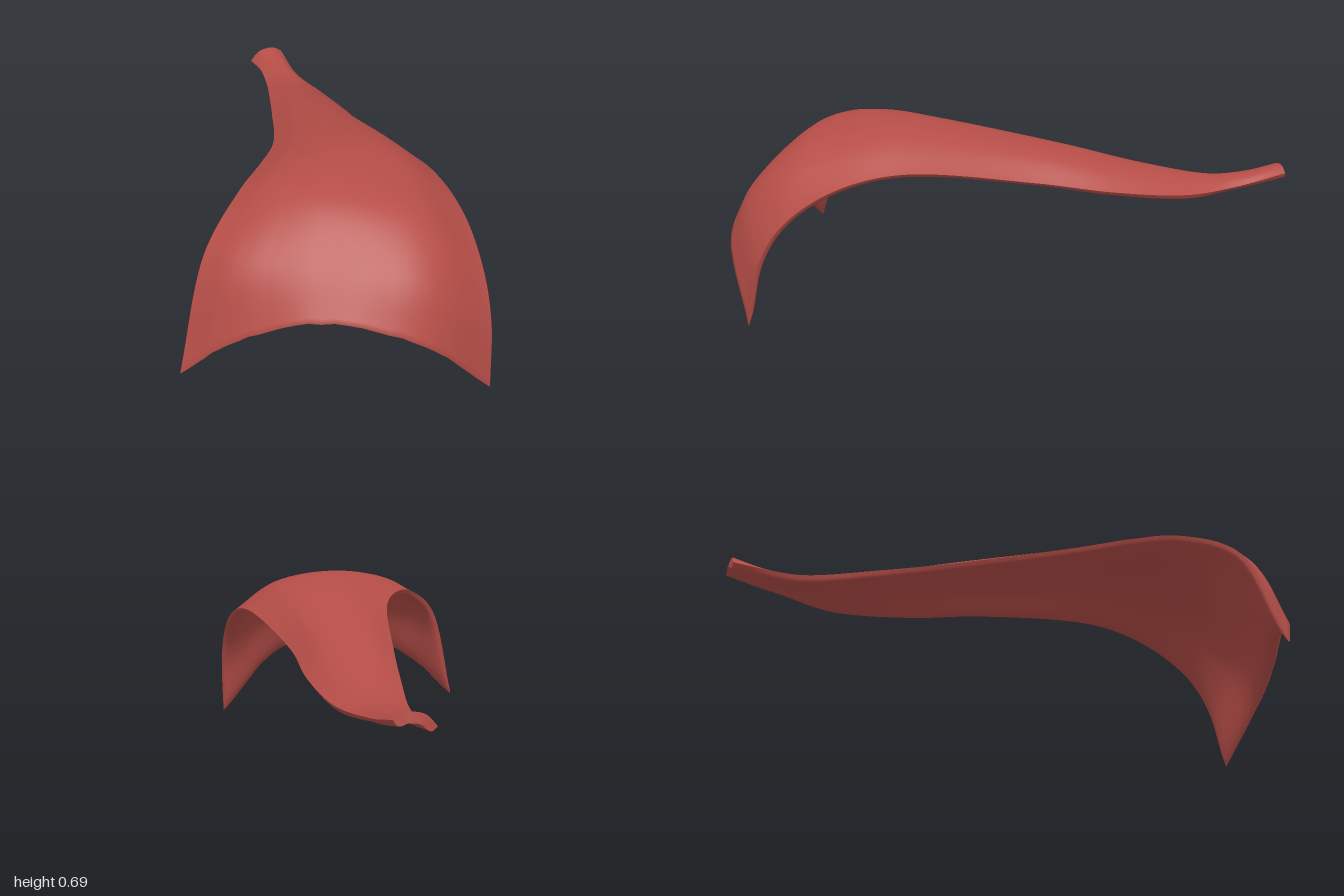
import * as THREE from 'three';

// Cross-sections from the narrow tendon to the flared front edge,
// each with five points running from the -x edge over the crown to the +x edge
const SECTIONS = [
  [[-0.65, 0.43, -0.92], [-0.62, 0.468, -0.94], [-0.59, 0.48, -0.96], [-0.56, 0.48, -0.98], [-0.53, 0.46, -1.0]],
  [[-0.58, 0.43, -0.83], [-0.54, 0.45, -0.84], [-0.5, 0.455, -0.85], [-0.46, 0.447, -0.855], [-0.42, 0.42, -0.845]],
  [[-0.52, 0.425, -0.71], [-0.47, 0.442, -0.71], [-0.41, 0.447, -0.7], [-0.34, 0.438, -0.69], [-0.265, 0.41, -0.685]],
  [[-0.43, 0.465, -0.45], [-0.36, 0.492, -0.45], [-0.27, 0.505, -0.44], [-0.18, 0.49, -0.44], [-0.095, 0.44, -0.44]],
  [[-0.35, 0.51, -0.2], [-0.27, 0.555, -0.2], [-0.17, 0.57, -0.2], [-0.05, 0.555, -0.19], [0.045, 0.485, -0.18]],
  [[-0.22, 0.6, 0.25], [-0.11, 0.655, 0.29], [0.05, 0.685, 0.32], [0.23, 0.655, 0.29], [0.36, 0.555, 0.235]],
  [[-0.21, 0.62, 0.45], [-0.11, 0.666, 0.51], [0.07, 0.685, 0.55], [0.33, 0.634, 0.5], [0.505, 0.5, 0.44]],
  [[-0.235, 0.6, 0.63], [-0.12, 0.635, 0.69], [0.1, 0.64, 0.715], [0.41, 0.575, 0.66], [0.595, 0.38, 0.59]],
  [[-0.292, 0.475, 0.84], [-0.17, 0.48, 0.89], [0.12, 0.495, 0.87], [0.45, 0.44, 0.81], [0.637, 0.235, 0.668]],
  [[-0.35, 0.09, 0.98], [-0.17, 0.24, 0.992], [0.13, 0.352, 0.975], [0.45, 0.265, 0.905], [0.65, 0.003, 0.715]],
];
const ACROSS = 48, ALONG = 90, THICKNESS = 0.035;

// Smooth outer surface, sampled more closely at the two side edges
function outerGrid() {
  const curves = SECTIONS.map(s => new THREE.CatmullRomCurve3(s.map(p => new THREE.Vector3(...p))));
  const columns = [];
  for (let i = 0; i <= ACROSS; i++) {
    const u = (1 - Math.cos(Math.PI * i / ACROSS)) / 2;
    const column = new THREE.CatmullRomCurve3(curves.map(c => c.getPoint(u))).getPoints(ALONG);
    // Faint fibres that grow toward the front edge
    column.forEach((p, j) => {
      const fade = (j / ALONG) ** 6 * Math.sin(Math.PI * u);
      p.y += 0.002 * fade * (Math.sin(u * 47) + Math.sin(u * 83 + 1));
    });
    columns.push(column);
  }
  return columns;
}

// Closed rings: outer surface one way, inner surface back, meeting at the edges
function buildRings() {
  const grid = outerGrid();
  const at = (i, j) => grid[i][Math.min(Math.max(j, 0), ALONG)];
  const rings = [];
  for (let j = 0; j <= ALONG; j++) {
    const outer = [], inner = [];
    const frontTaper = Math.max(0.3, Math.sqrt(1 - (j / ALONG) ** 40));
    for (let i = 0; i <= ACROSS; i++) {
      const p = at(i, j);
      outer.push(p);
      if (i === 0 || i === ACROSS) continue;
      const du = at(i + 1, j).clone().sub(at(i - 1, j));
      const dv = at(i, j + 1).clone().sub(at(i, j - 1));
      const normal = dv.cross(du).normalize();
      const edge = Math.sqrt(1 - Math.abs(2 * i / ACROSS - 1) ** 4);
      inner.push(p.clone().addScaledVector(normal, -THICKNESS * edge * frontTaper));
    }
    rings.push([...outer, ...inner.reverse()]);
  }
  return rings;
}

function makeGeometry(points, index) {
  const geometry = new THREE.BufferGeometry().setFromPoints(points);
  geometry.setIndex(index);
  geometry.computeVertexNormals();
  return geometry;
}

// Triangles closing a ring by joining outer and inner points
function capIndex(offset, size, flip) {
  const index = [];
  const add = (a, b, c) => index.push(offset + a, offset + (flip ? c : b), offset + (flip ? b : c));
  for (let i = 0; i < ACROSS; i++) {
    const a = i, b = i + 1, c = (size - i) % size, d = size - i - 1;
    if (b !== d) add(a, b, d);
    if (a !== c) add(a, d, c);
  }
  return index;
}

export function createModel() {
  const muscleRed = new THREE.MeshStandardMaterial({ color: 0xb54d47 });
  muscleRed.name = 'muscleRed';
  const rings = buildRings(), size = rings[0].length;

  // Curved sheet with a rounded front rim
  const index = [];
  for (let j = 0; j < ALONG; j++) {
    for (let i = 0; i < size; i++) {
      const a = j * size + i, b = j * size + (i + 1) % size;
      index.push(a, a + size, b, b, a + size, b + size);
    }
  }
  index.push(...capIndex(ALONG * size, size, true));
  const sheet = new THREE.Mesh(makeGeometry(rings.flat(), index), muscleRed);
  sheet.name = 'muscleSheet';

  // Flat cut face at the narrow end
  const end = new THREE.Mesh(makeGeometry(rings[0], capIndex(0, size, false)), muscleRed);
  end.name = 'tendonEnd';

  const model = new THREE.Group();
  model.name = 'fanMuscle';
  model.add(sheet, end);
  return model;
}
